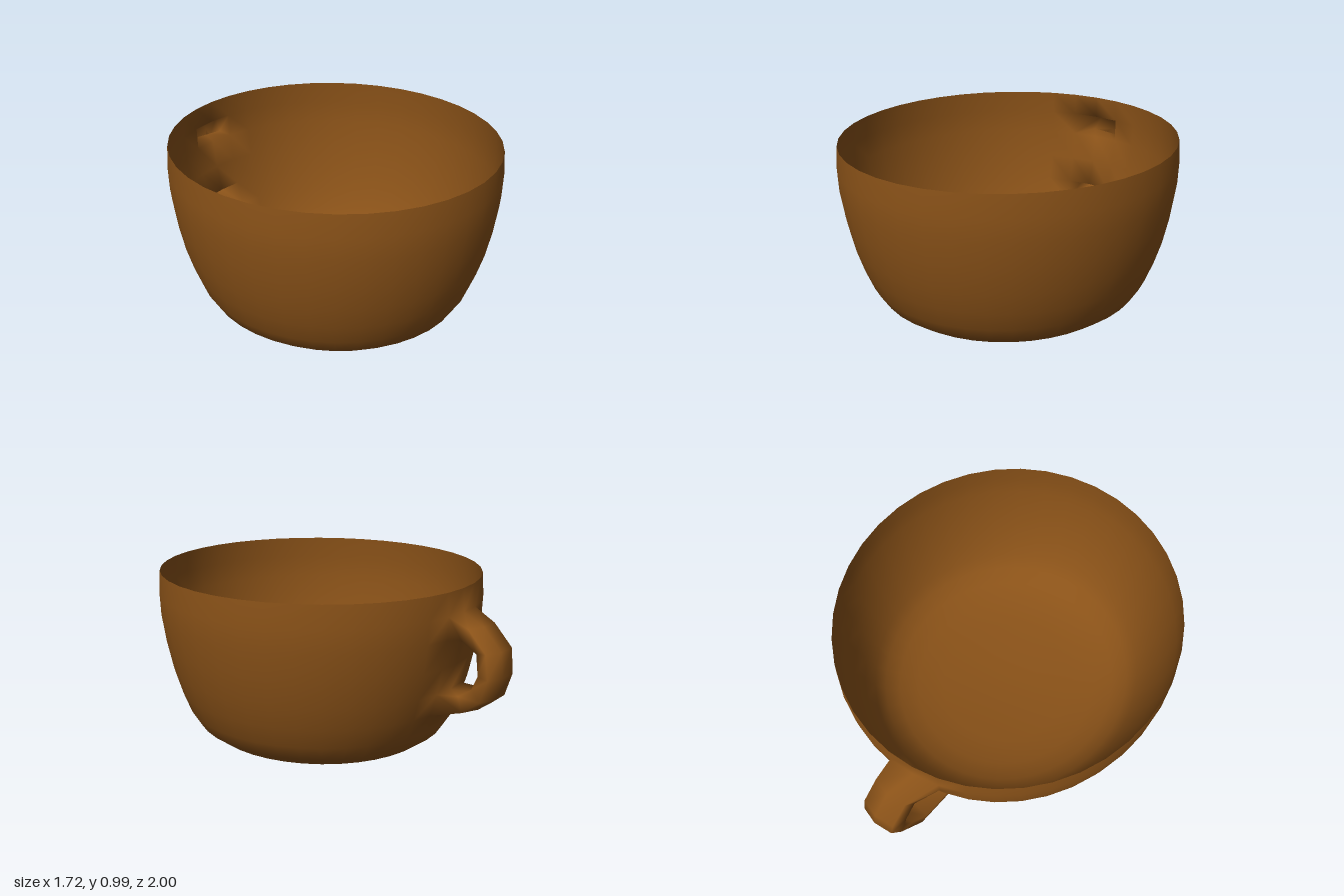
import * as THREE from 'three';

const SEGMENTS = 40;
// Bowl profile from the bottom centre to the rim: [radius, height]
const PROFILE = [
  [0, 0.005], [0.18, 0.015], [0.36, 0.03], [0.5, 0.055], [0.6, 0.095], [0.675, 0.15],
  [0.725, 0.23], [0.768, 0.34], [0.805, 0.46], [0.835, 0.6], [0.857, 0.75], [0.862, 0.87], [0.855, 0.99],
];
// Wall openings where the hollow handle joins: profile rows and columns
const LOWER_ROW = 7, UPPER_ROW = 10, FIRST_COL = 2, LAST_COL = 4;
// Handle sections from top to bottom: outer y, outer z, inner y, inner z, centre x, half width
const SECTIONS = [
  [0.83, -0.85, 0.76, -0.8, -0.4, 0.095],
  [0.725, -0.95, 0.71, -0.875, -0.435, 0.095],
  [0.6, -0.97, 0.6, -0.89, -0.435, 0.092],
  [0.475, -0.92, 0.525, -0.85, -0.43, 0.092],
  [0.39, -0.8, 0.465, -0.765, -0.42, 0.1],
];

function createCupGeometry() {
  const positions = [];
  const indices = [];
  const addVertex = (x, y, z) => positions.push(x, y, z) / 3 - 1;
  const quad = (a, b, c, d) => indices.push(a, b, c, a, c, d);

  // Bowl vertices, slightly deeper than wide; columns run from the back towards -x
  const rows = PROFILE.map(([r, y], row) => {
    if (row === 0) return Array(SEGMENTS).fill(addVertex(0, y, 0.095));
    return Array.from({ length: SEGMENTS }, (_, c) => {
      const a = (c / SEGMENTS) * Math.PI * 2;
      return addVertex(-r * Math.sin(a), y, 0.095 - r * 1.05 * Math.cos(a));
    });
  });

  // Bowl wall, leaving out the two handle openings
  for (let r = 0; r < rows.length - 1; r++) {
    for (let c = 0; c < SEGMENTS; c++) {
      const open = (r === LOWER_ROW || r === UPPER_ROW) && c >= FIRST_COL && c < LAST_COL;
      if (open) continue;
      const n = (c + 1) % SEGMENTS;
      if (r === 0) indices.push(rows[0][c], rows[1][n], rows[1][c]);
      else quad(rows[r][c], rows[r][n], rows[r + 1][n], rows[r + 1][c]);
    }
  }

  // Handle rings: three outer corners, then three inner corners back again
  const wallRing = (outer, inner) => [
    rows[outer][4], rows[outer][3], rows[outer][2],
    rows[inner][2], rows[inner][3], rows[inner][4],
  ];
  const rings = [wallRing(UPPER_ROW + 1, UPPER_ROW)];
  for (const [oy, oz, iy, iz, cx, w] of SECTIONS) {
    const outer = [-1, 0, 1].map((s) => addVertex(cx + s * w, oy, oz - s * 0.025 - (s ? 0 : 0.02)));
    const inner = [1, 0, -1].map((s) => addVertex(cx + s * w, iy, iz - s * 0.025));
    rings.push([...outer, ...inner]);
  }
  rings.push(wallRing(LOWER_ROW, LOWER_ROW + 1));

  for (let i = 0; i < rings.length - 1; i++) {
    for (let j = 0; j < 6; j++) {
      const n = (j + 1) % 6;
      quad(rings[i][j], rings[i][n], rings[i + 1][n], rings[i + 1][j]);
    }
  }

  const geometry = new THREE.BufferGeometry();
  geometry.setAttribute('position', new THREE.Float32BufferAttribute(positions, 3));
  geometry.setIndex(indices);
  geometry.computeVertexNormals();
  return geometry;
}

export function createModel() {
  const group = new THREE.Group();
  group.name = 'cup';
  const material = new THREE.MeshStandardMaterial({ color: 0x8a5218, side: THREE.DoubleSide });
  // Bowl and handle share one continuous skin
  const cup = new THREE.Mesh(createCupGeometry(), material);
  cup.name = 'bowlWithHandle';
  group.add(cup);
  return group;
}
